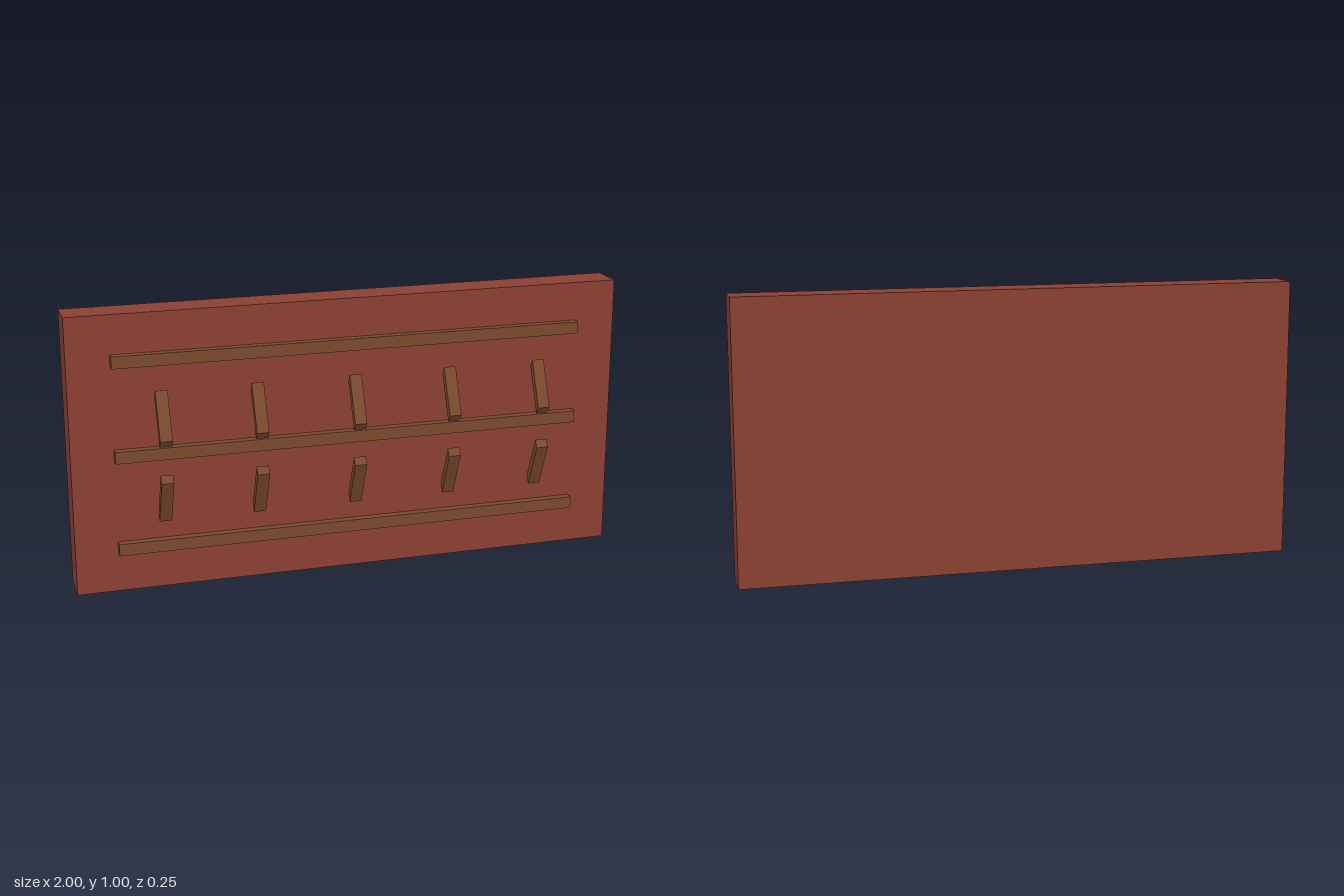
import * as THREE from 'three';

export function createModel() {
  const model = new THREE.Group();
  const panelMat = new THREE.MeshStandardMaterial({ color: 0x8b4033, flatShading: true });
  const woodMat = new THREE.MeshStandardMaterial({ color: 0x7a4a2d, flatShading: true });

  function add(name, geometry, material, x, y, z) {
    const mesh = new THREE.Mesh(geometry, material);
    mesh.name = name;
    mesh.position.set(x, y, z);
    model.add(mesh);
  }

  // Thick backing panel
  add('panel', new THREE.BoxGeometry(2, 1, 0.125), panelMat, 0, 0.5, -0.0625);

  // Three horizontal rails on the front
  for (const y of [0.163, 0.501, 0.839]) {
    add('rail', new THREE.BoxGeometry(1.7, 0.043, 0.03), woodMat, 0, y, 0.015);
  }

  // Slanted peg: side outline as (z, y) offsets from its centre, extruded along x
  const pegWidth = 0.043;
  function pegGeometry(flip) {
    const outline = [[-0.026, 0.093], [-0.044, 0.068], [0.026, -0.093], [0.044, -0.068]];
    const shape = new THREE.Shape(outline.map(([z, y]) => new THREE.Vector2(z, y * flip)));
    const geometry = new THREE.ExtrudeGeometry(shape, { depth: pegWidth, bevelEnabled: false });
    geometry.translate(0, 0, -pegWidth / 2);
    return geometry.rotateY(-Math.PI / 2);
  }

  // Two mirrored rows of five pegs
  const upper = pegGeometry(1);
  const lower = pegGeometry(-1);
  for (const x of [-0.688, -0.352, 0, 0.35, 0.687]) {
    add('upperPeg', upper, woodMat, x, 0.645, 0.081);
    add('lowerPeg', lower, woodMat, x, 0.358, 0.081);
  }

  return model;
}
